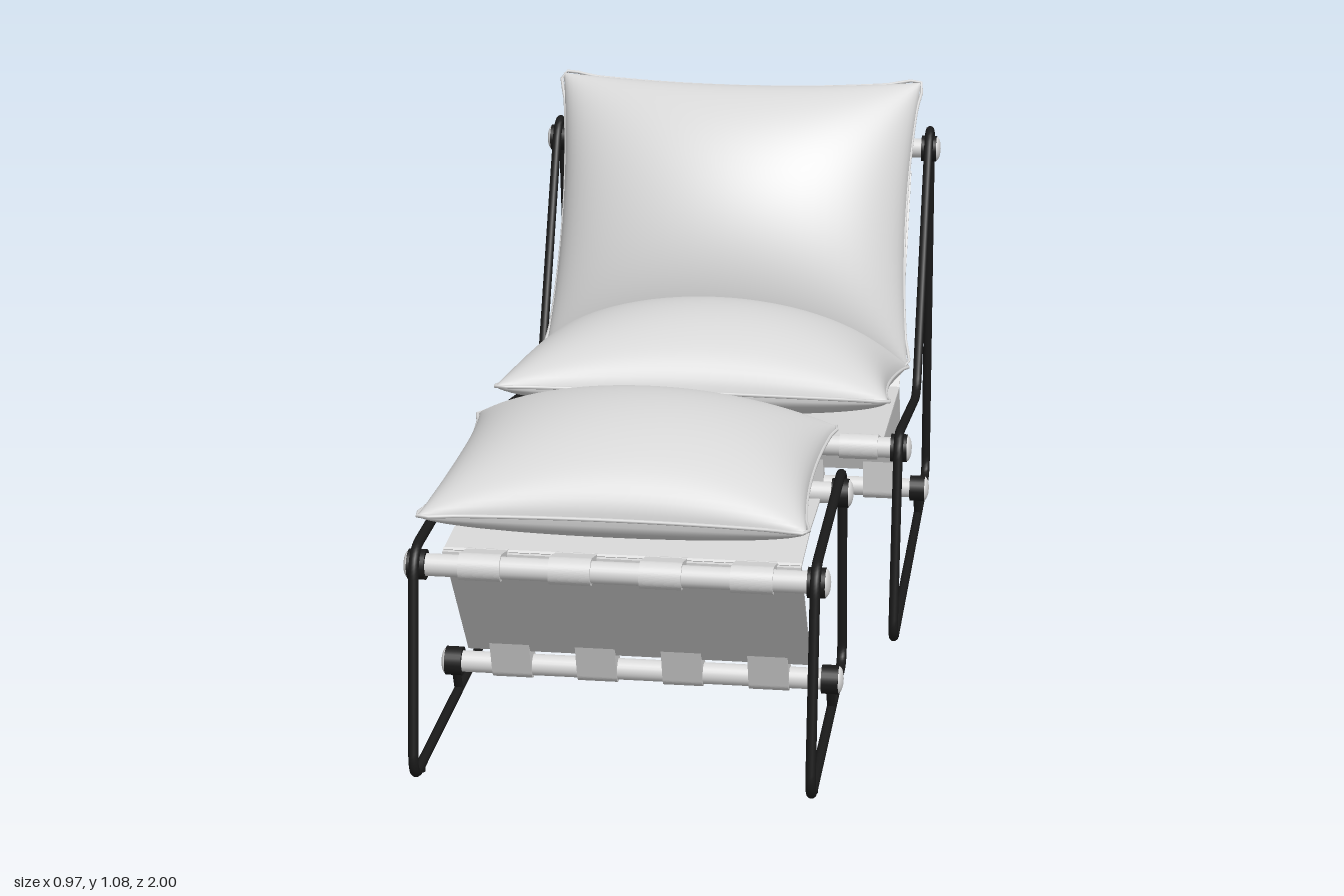
import * as THREE from 'three';
import { mergeGeometries } from 'three/addons/utils/BufferGeometryUtils.js';

const paleFabric = new THREE.MeshStandardMaterial({ color: 0xd8d8d8, side: THREE.DoubleSide });
paleFabric.name = 'paleFabric';
const blackSteel = new THREE.MeshStandardMaterial({ color: 0x1a1a1a });
blackSteel.name = 'blackSteel';

function add(parent, name, geometry, material) {
  const mesh = new THREE.Mesh(geometry, material);
  mesh.name = name;
  parent.add(mesh);
  return mesh;
}

// Profile points are [z, y] pairs in the side plane.
const towards = (a, b) => Math.atan2(b[0] - a[0], b[1] - a[1]);
const along = (a, b, d) => {
  const len = Math.hypot(b[0] - a[0], b[1] - a[1]);
  return [a[0] + (b[0] - a[0]) * d / len, a[1] + (b[1] - a[1]) * d / len];
};

// Closed loop of straight runs with rounded corners
function roundedLoop(points, radius) {
  const path = new THREE.CurvePath();
  const v = (p) => new THREE.Vector3(0, p[1], p[0]);
  const n = points.length;
  points.forEach((p, i) => {
    const next = points[(i + 1) % n], after = points[(i + 2) % n];
    const r = Math.min(radius, 0.48 * Math.hypot(next[0] - p[0], next[1] - p[1]));
    const r2 = Math.min(radius, 0.48 * Math.hypot(next[0] - after[0], next[1] - after[1]));
    path.add(new THREE.LineCurve3(v(along(p, next, r)), v(along(next, p, r))));
    path.add(new THREE.QuadraticBezierCurve3(v(along(next, p, r)), v(next), v(along(next, after, r2))));
  });
  return path;
}

// Stuffed cushion between two seam ends: domed both sides, edges drawn in between the corners
function cushion(parent, name, start, end, width, front, back) {
  const group = new THREE.Group();
  group.name = name;
  const hw = width / 2, hl = Math.hypot(end[0] - start[0], end[1] - start[1]) / 2;
  const outline = (u, v) => [
    u * (hw - 0.022 * (1 - v * v)),
    v * (hl - 0.022 * (1 - u * u)),
  ];
  const face = (height, power, flip) => {
    const g = new THREE.PlaneGeometry(2, 2, 36, 36);
    const pos = g.attributes.position;
    for (let i = 0; i < pos.count; i++) {
      const u = Math.sin(pos.getX(i) * Math.PI / 2), v = Math.sin(pos.getY(i) * Math.PI / 2);
      const f = Math.max(0, (1 - u * u) * (1 - v * v));
      pos.setXYZ(i, ...outline(u, v), height * Math.pow(f, power));
    }
    if (flip) g.rotateY(Math.PI);
    g.computeVertexNormals();
    return g;
  };
  add(group, name + 'Body', mergeGeometries([face(front, 0.5, false), face(back, 0.36, true)]), paleFabric);
  // piping along the seam
  const corners = [[-1, -1], [1, -1], [1, 1], [-1, 1]];
  const seam = [];
  corners.forEach((c, k) => {
    const d = corners[(k + 1) % 4];
    for (let i = 0; i < 10; i++) {
      const t = i / 10;
      const [x, y] = outline(c[0] + (d[0] - c[0]) * t, c[1] + (d[1] - c[1]) * t);
      seam.push(new THREE.Vector3(x, y, 0));
    }
  });
  const curve = new THREE.CatmullRomCurve3(seam, true);
  add(group, name + 'Piping', new THREE.TubeGeometry(curve, 120, 0.004, 6, true), paleFabric);
  group.position.set(0, (start[1] + end[1]) / 2, (start[0] + end[0]) / 2);
  group.rotation.x = towards(start, end);
  parent.add(group);
}

// Flat fabric panel from one profile point to another
function panel(parent, name, a, b, width) {
  const g = new THREE.BoxGeometry(width, Math.hypot(b[0] - a[0], b[1] - a[1]), 0.006);
  const mesh = add(parent, name, g, paleFabric);
  mesh.position.set(0, (a[1] + b[1]) / 2, (a[0] + b[0]) / 2);
  mesh.rotation.x = towards(a, b);
}

// Strap loop: a teardrop around the bar, narrowing towards the panel
function strapGeometry(bar, target, width) {
  const r = 0.028, reach = 0.095;
  const apex = along(bar, target, reach);
  const dir = Math.atan2(target[1] - bar[1], target[0] - bar[0]);
  const spread = Math.acos(r / reach);
  const shape = new THREE.Shape();
  shape.moveTo(...apex);
  shape.lineTo(bar[0] + r * Math.cos(dir + spread), bar[1] + r * Math.sin(dir + spread));
  shape.absarc(bar[0], bar[1], r, dir + spread, dir - spread + Math.PI * 2, false);
  shape.closePath();
  const g = new THREE.ExtrudeGeometry(shape, { depth: width, bevelEnabled: false, curveSegments: 20 });
  return g.translate(0, 0, -width / 2).rotateY(-Math.PI / 2);
}

// Round cross bar with black collars and pale domed end caps
function crossBar(parent, name, at, halfSpan) {
  const group = new THREE.Group();
  group.name = name;
  group.position.set(0, at[1], at[0]);
  add(group, 'bar', new THREE.CylinderGeometry(0.023, 0.023, halfSpan * 2, 24).rotateZ(Math.PI / 2), paleFabric);
  for (const s of [-1, 1]) {
    add(group, 'collar', new THREE.CylinderGeometry(0.031, 0.031, 0.036, 24).rotateZ(Math.PI / 2), blackSteel)
      .position.x = s * halfSpan;
    const cap = add(group, 'endCap', new THREE.SphereGeometry(0.029, 24, 12), paleFabric);
    cap.scale.x = 0.38;
    cap.position.x = s * (halfSpan + 0.017);
  }
  parent.add(group);
}

// One seat: two side loops, cross bars, sling panels and straps
function seatUnit(name, spec) {
  const unit = new THREE.Group();
  unit.name = name;
  const { halfSpan, loop, bars, lowerBar, stubFoot, joint, slingWidth, strapXs, feet } = spec;
  for (const s of [-1, 1]) {
    const side = new THREE.Group();
    side.name = 'sideFrame';
    side.position.x = s * halfSpan;
    add(side, 'frameTube', new THREE.TubeGeometry(roundedLoop(loop, 0.055), 280, 0.0105, 10, true), blackSteel);
    const stub = new THREE.LineCurve3(
      new THREE.Vector3(0, lowerBar[1], lowerBar[0]), new THREE.Vector3(0, stubFoot[1], stubFoot[0]));
    add(side, 'lowerBarStub', new THREE.TubeGeometry(stub, 1, 0.0095, 10), blackSteel);
    for (const z of feet) {
      add(side, 'foot', new THREE.CylinderGeometry(0.009, 0.009, 0.012, 12), blackSteel).position.set(0, 0.006, z);
    }
    unit.add(side);
  }
  // sling ends: upper bars meet their own panels, the lower bar takes the hanging panel
  const ends = [
    ['frontSling', bars[0], spec.frontJoint],
    ['backSling', bars[1], spec.backJoint],
    ['hangingSling', lowerBar, joint],
  ];
  for (const [label, bar, target] of ends) {
    crossBar(unit, label + 'Bar', bar, halfSpan);
    panel(unit, label, along(bar, target, 0.06), target, slingWidth);
    const strap = strapGeometry(bar, target, 0.085);
    for (const x of strapXs) add(unit, label + 'Strap', strap, paleFabric).position.x = x;
  }
  return unit;
}

export function createModel() {
  const model = new THREE.Group();
  model.name = 'loungeChairAndFootstool';

  const crease = [-0.525, 0.395];
  const chair = seatUnit('loungeChair', {
    halfSpan: 0.455,
    loop: [[0.15, 0.015], [0.09, 0.487], [-0.535, 0.373], [-0.828, 0.945], [-0.895, 0.945], [-0.997, 0.015]],
    bars: [[0.06, 0.445], [-0.845, 0.905]],
    lowerBar: [-0.66, 0.095],
    stubFoot: [-0.695, 0.015],
    joint: crease, frontJoint: crease, backJoint: crease,
    slingWidth: 0.83,
    strapXs: [-2, -1, 0, 1, 2].map((i) => i * 0.183),
    feet: [0.07, -0.92],
  });
  cushion(chair, 'seatCushion', [0.148, 0.58], [-0.51, 0.455], 0.87, 0.18, 0.07);
  cushion(chair, 'backCushion', [-0.49, 0.46], [-0.803, 1.077], 0.87, 0.187, 0.085);
  model.add(chair);

  const stool = seatUnit('footstool', {
    halfSpan: 0.403,
    loop: [[0.997, 0.015], [0.937, 0.487], [0.325, 0.487], [0.267, 0.015]],
    bars: [[0.9, 0.445], [0.37, 0.445]],
    lowerBar: [0.56, 0.095],
    stubFoot: [0.525, 0.015],
    joint: [0.83, 0.455], frontJoint: [0.635, 0.46], backJoint: [0.635, 0.46],
    slingWidth: 0.73,
    strapXs: [-1.5, -0.5, 0.5, 1.5].map((i) => i * 0.183),
    feet: [0.92, 0.34],
  });
  cushion(stool, 'stoolCushion', [0.963, 0.572], [0.303, 0.572], 0.775, 0.152, 0.085);
  stool.position.x = -0.051;
  model.add(stool);

  return model;
}
